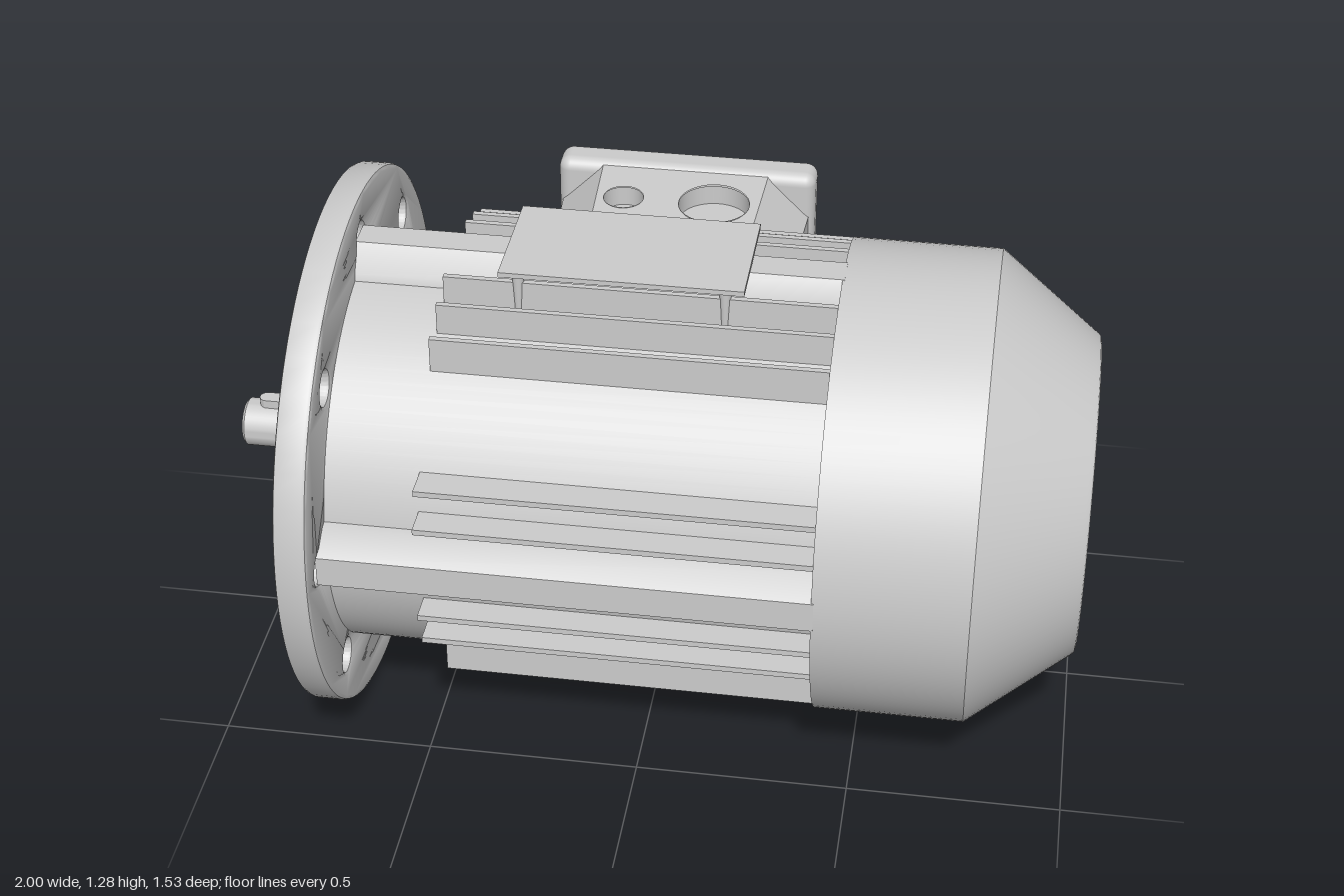
import * as THREE from 'three';
import { toCreasedNormals } from 'three/addons/utils/BufferGeometryUtils.js';
import { RoundedBoxGeometry } from 'three/addons/geometries/RoundedBoxGeometry.js';

const grey = new THREE.MeshStandardMaterial({ color: 0xcccccc });
const greyThin = new THREE.MeshStandardMaterial({ color: 0xcccccc, side: THREE.DoubleSide });

function add(parent, name, geometry, x = 0, y = 0, z = 0, material = grey) {
  const mesh = new THREE.Mesh(geometry, material);
  mesh.name = name;
  mesh.position.set(x, y, z);
  parent.add(mesh);
  return mesh;
}

// Turned part about the x axis; profile points are [radius, x]
function turned(points, segments = 96) {
  const profile = points.map(([r, x]) => new THREE.Vector2(r, x));
  const g = new THREE.LatheGeometry(profile, segments).rotateZ(-Math.PI / 2);
  return toCreasedNormals(g, 0.5);
}

// Shape extruded along +x, starting at x = 0
function extrudeX(shape, depth, options = {}) {
  const g = new THREE.ExtrudeGeometry(shape, { depth, bevelEnabled: false, curveSegments: 48, ...options });
  return toCreasedNormals(g.rotateY(Math.PI / 2), 0.5);
}

const polygon = (pts) => new THREE.Shape(pts.map(([x, y]) => new THREE.Vector2(x, y)));
const circlePath = (x, y, r, Type = THREE.Path) => new Type().absarc(x, y, r, 0, Math.PI * 2);

// Rectangle with cut corners, anticlockwise from the lower right
const cutRect = (x0, x1, y0, y1, c) => [
  [x1 - c, y0], [x1, y0 + c], [x1, y1 - c], [x1 - c, y1],
  [x0 + c, y1], [x0, y1 - c], [x0, y0 + c], [x0 + c, y0],
];

function buildFlange(motor) {
  const shape = circlePath(0, 0, 0.64, THREE.Shape);
  shape.holes.push(circlePath(0, 0, 0.42));
  for (let i = 0; i < 8; i++) {
    const a = (i * Math.PI) / 4;
    shape.holes.push(circlePath(0.535 * Math.cos(a), 0.535 * Math.sin(a), 0.04));
  }
  const bevel = { bevelEnabled: true, bevelSize: 0.01, bevelThickness: 0.01, bevelOffset: -0.01, bevelSegments: 2 };
  add(motor, 'mountingFlange', extrudeX(shape, 0.055, bevel), -0.75);
  // Spigot ring, recess and hub around the shaft
  add(motor, 'flangeSpigot', turned([
    [0, -0.75], [0.17, -0.75], [0.17, -0.73], [0.38, -0.73], [0.4, -0.785],
    [0.435, -0.785], [0.44, -0.78], [0.44, -0.7], [0, -0.7],
  ]));
}

function buildShaft(motor) {
  add(motor, 'shaft', turned([
    [0, -0.97], [0.018, -0.98], [0.022, -1], [0.05, -1], [0.057, -0.993], [0.057, -0.7],
  ], 48));
  // Key with round ends
  const key = new THREE.Shape();
  key.absarc(-0.81, 0, 0.018, -Math.PI / 2, Math.PI / 2);
  key.absarc(-0.945, 0, 0.018, Math.PI / 2, Math.PI * 1.5);
  const g = new THREE.ExtrudeGeometry(key, { depth: 0.05, bevelEnabled: false }).rotateX(-Math.PI / 2);
  add(motor, 'shaftKey', toCreasedNormals(g, 0.5), 0, 0.025, 0);
}

function buildHousing(motor) {
  const core = 0.48, tip = 0.545;
  add(motor, 'housing', turned([[0, -0.71], [core, -0.71], [core, 0.43], [0, 0.43]]));
  const boss = polygon([[-0.085, 0.45], [0.085, 0.45], [0.08, 0.49], [0.037, 0.55], [-0.037, 0.55], [-0.08, 0.49]]);
  const bossGeometry = extrudeX(boss, 1.11);
  for (let side = 0; side < 4; side++) {
    const group = new THREE.Group();
    group.name = 'finSide';
    group.rotation.x = (side * Math.PI) / 2;
    add(group, 'housingRib', bossGeometry, -0.69);
    // Fins stand parallel and end on a common circle
    const offsets = side % 2 ? [0.12, 0.205] : [0.12, 0.2, 0.28];
    for (const o of offsets) {
      const low = Math.sqrt(core * core - o * o) - 0.02;
      const high = Math.sqrt(tip * tip - o * o);
      const fin = new THREE.BoxGeometry(0.89, high - low, 0.014);
      for (const s of [-1, 1]) add(group, 'coolingFin', fin, -0.025, (low + high) / 2, s * o);
    }
    motor.add(group);
  }
}

function buildCowl(motor) {
  // Hollow shell with a rounded rim at the rear
  add(motor, 'fanCowl', turned([
    [0.535, 0.415], [0.55, 0.415], [0.55, 0.76], [0.376, 0.988], [0.368, 0.997], [0.358, 1],
    [0.348, 0.997], [0.34, 0.985], [0.34, 0.97], [0.365, 0.97], [0.535, 0.755], [0.535, 0.415],
  ]), 0, 0, 0, greyThin);
  // Rear grille with square openings
  const grille = circlePath(0, 0, 0.35, THREE.Shape);
  const pitch = 0.089, h = 0.0325;
  const reach = [3, 3, 2, 1];
  for (let row = -3; row <= 3; row++) {
    const n = reach[Math.abs(row)];
    for (let col = -n; col <= n; col++) {
      if (row === 0 && col === 0) continue;
      const x = col * pitch, y = row * pitch;
      grille.holes.push(polygon([[x - h, y - h], [x - h, y + h], [x + h, y + h], [x + h, y - h]]));
    }
  }
  add(motor, 'fanGrille', extrudeX(grille, 0.015), 0.973);
  add(motor, 'grilleCentre', turned([[0.04, 0.98], [0.04, 0.99], [0.036, 0.993], [0, 0.993]], 32));
  add(motor, 'fanShaft', turned([[0.06, 0.42], [0.06, 0.8], [0, 0.8]], 32));
}

function buildNameplate(motor) {
  add(motor, 'plate', new THREE.BoxGeometry(0.55, 0.012, 0.295), -0.065, 0.561, 0);
  const leg = new THREE.CylinderGeometry(0.014, 0.009, 0.12, 16);
  for (const x of [-0.3, 0.165])
    for (const z of [-0.12, 0.12]) add(motor, 'plateLeg', leg, x, 0.5, z);
}

function buildTerminalBox(parent) {
  const box = new THREE.Group();
  box.name = 'terminalBox';
  parent.add(box);
  // Tapered body with cut corners; the top panel is left out for the cable entries
  const z0 = -0.67, z1 = -0.2;
  const outer = cutRect(-0.37, 0.26, 0.32, 0.965, 0.105);
  const inner = cutRect(-0.345, 0.235, 0.338, 0.945, 0.1);
  const pos = [];
  for (let i = 0; i < 8; i++) {
    if (i === 3) continue;
    const j = (i + 1) % 8;
    const a = [...outer[i], z0], b = [...outer[j], z0], c = [...inner[j], z1], d = [...inner[i], z1];
    pos.push(...a, ...c, ...d, ...a, ...b, ...c);
  }
  const walls = new THREE.BufferGeometry();
  walls.setAttribute('position', new THREE.Float32BufferAttribute(pos, 3));
  walls.computeVertexNormals();
  add(box, 'boxWalls', walls, 0, 0, 0, greyThin);

  // Top panel, sloped to follow the taper, with two cable entries
  const [o3, o4, i3, i4] = [outer[3], outer[4], inner[3], inner[4]];
  const panel = polygon([[o4[0], -z0], [i4[0], -z1], [i3[0], -z1], [o3[0], -z0]]);
  const entries = [[-0.19, 0.05], [0.037, 0.088]];
  for (const [x, r] of entries) panel.holes.push(circlePath(x, 0.525, r));
  const top = new THREE.ShapeGeometry(panel, 32).rotateX(-Math.PI / 2);
  const p = top.attributes.position;
  const topY = (z) => THREE.MathUtils.mapLinear(z, z0, z1, o3[1], i3[1]);
  for (let i = 0; i < p.count; i++) p.setY(i, topY(p.getZ(i)));
  top.computeVertexNormals();
  add(box, 'boxTop', top, 0, 0, 0, greyThin);
  for (const [x, r] of entries) {
    add(box, 'cableEntryWall', new THREE.CylinderGeometry(r, r, 0.05, 48, 1, true), x, topY(-0.525) - 0.025, -0.525, greyThin);
    add(box, 'cableEntryFloor', new THREE.CircleGeometry(r, 48).rotateX(-Math.PI / 2), x, topY(-0.525) - 0.05, -0.525);
  }

  // Lid and its raised panel
  add(box, 'boxLid', new RoundedBoxGeometry(0.655, 0.66, 0.097, 4, 0.03), -0.053, 0.645, -0.7075);
  const raised = polygon(cutRect(-0.295, 0.295, -0.295, 0.295, 0.06));
  add(box, 'lidPanel', new THREE.ExtrudeGeometry(raised, { depth: 0.02, bevelEnabled: false }), -0.053, 0.645, -0.765);
}

export function createModel() {
  const model = new THREE.Group();
  model.name = 'electricMotor';
  const motor = new THREE.Group();
  motor.name = 'motorBody';
  motor.position.set(0, 0.643, 0.122);
  model.add(motor);
  buildFlange(motor);
  buildShaft(motor);
  buildHousing(motor);
  buildCowl(motor);
  buildNameplate(motor);
  buildTerminalBox(model);
  return model;
}
